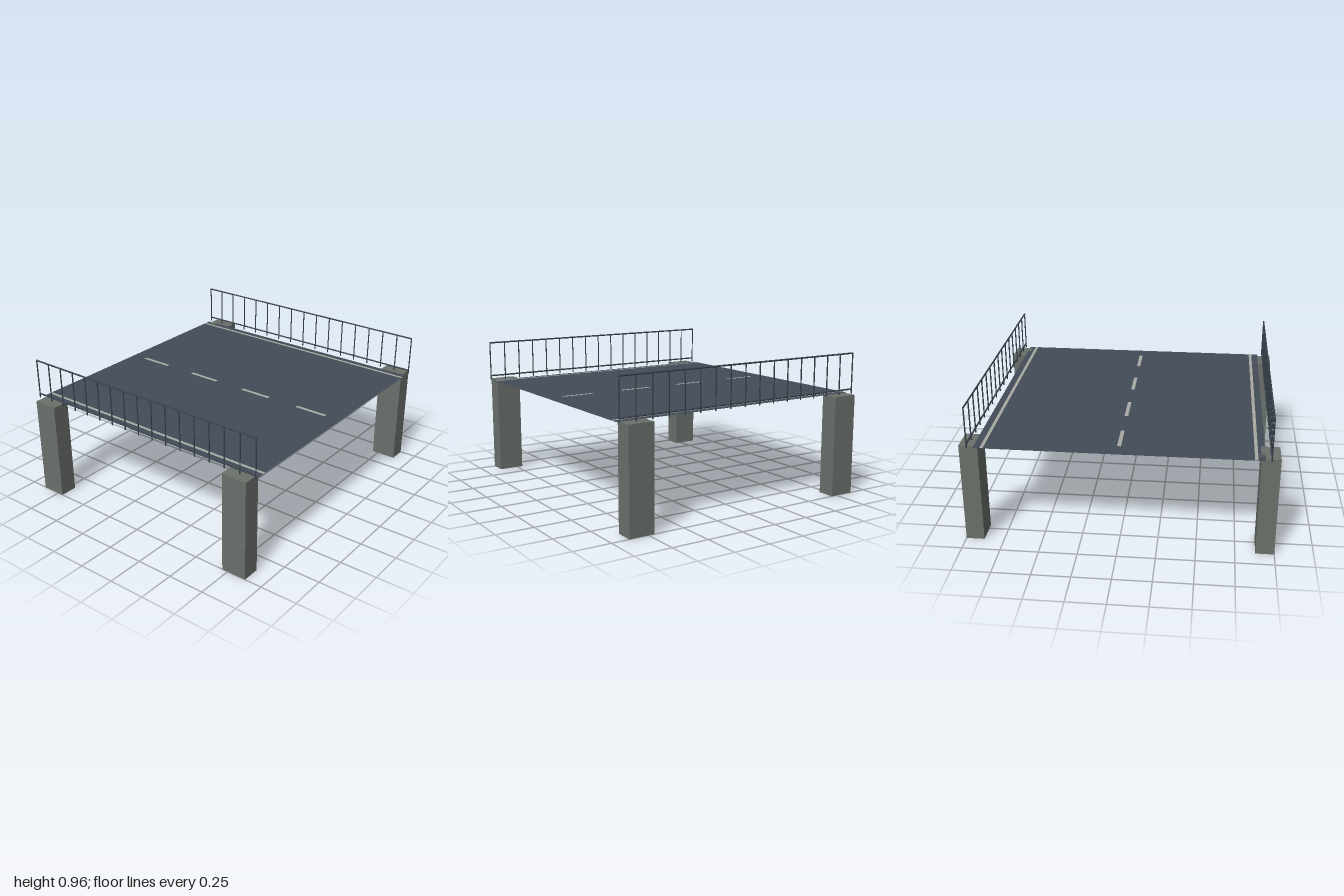
import * as THREE from 'three';

const mat = (color, side = THREE.FrontSide) => new THREE.MeshStandardMaterial({ color, side });

export function createModel() {
  const model = new THREE.Group();
  model.name = 'roadBridge';
  const asphalt = mat(0x434d57, THREE.DoubleSide);
  const paint = mat(0xa9aaa3);
  const concrete = mat(0x6b706b);
  const steel = mat(0x38434d);

  const add = (parent, name, geometry, material, x, y, z) => {
    const mesh = new THREE.Mesh(geometry, material);
    mesh.name = name;
    mesh.position.set(x, y, z);
    parent.add(mesh);
    return mesh;
  };
  const flat = (w, d) => new THREE.PlaneGeometry(w, d).rotateX(-Math.PI / 2);

  const deckY = 0.678;
  const deckSize = 1.81;

  // Thin road surface
  add(model, 'roadDeck', flat(deckSize, deckSize), asphalt, 0, deckY, 0);

  // Dashed centre line
  const dash = flat(0.025, 0.227);
  for (let i = 0; i < 4; i++) {
    add(model, 'centreDash', dash, paint, 0, deckY + 0.002, -0.682 + i * 0.453);
  }

  const edgeLine = flat(0.021, deckSize);
  const pillar = new THREE.BoxGeometry(0.12, deckY, 0.173);
  const post = new THREE.CylinderGeometry(0.0045, 0.0045, 0.275, 6);
  const rail = new THREE.CylinderGeometry(0.0055, 0.0055, 1.82, 8).rotateX(Math.PI / 2);

  for (const side of [-1, 1]) {
    // Solid line along the road edge
    add(model, 'edgeLine', edgeLine, paint, side * 0.85, deckY + 0.002, 0);

    // Corner pillars
    for (const end of [-1, 1]) {
      add(model, 'pillar', pillar, concrete, side * 0.94, deckY / 2, end * 0.795);
    }

    // Railing: two rails and evenly spaced posts
    const railing = new THREE.Group();
    railing.name = side > 0 ? 'leftRailing' : 'rightRailing';
    railing.position.x = side * 0.94;
    add(railing, 'topRail', rail, steel, 0, 0.951, 0);
    add(railing, 'bottomRail', rail, steel, 0, 0.707, 0);
    for (let i = 0; i < 17; i++) {
      add(railing, 'post', post, steel, 0, 0.8145, -0.908 + i * 0.1135);
    }
    model.add(railing);
  }
  return model;
}
